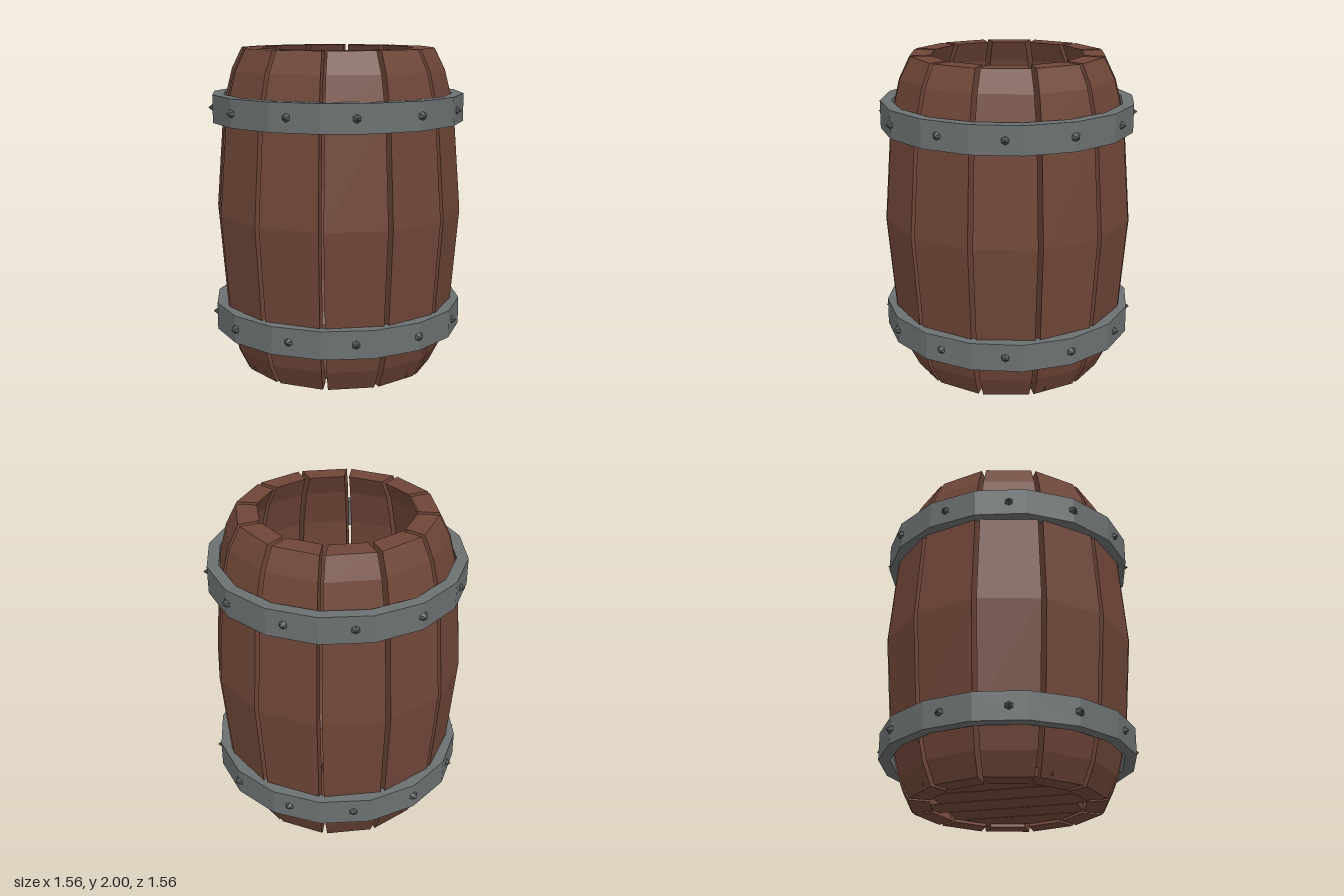
import * as THREE from 'three';

const wood = new THREE.MeshStandardMaterial({ color: 0x6f4638, flatShading: true });
wood.name = 'brown wood';
const iron = new THREE.MeshStandardMaterial({ color: 0x6b7070, flatShading: true });
iron.name = 'grey iron';
const darkIron = new THREE.MeshStandardMaterial({ color: 0x535757, flatShading: true });
darkIron.name = 'dark iron';

const STAVES = 12;
const STEP = (Math.PI * 2) / STAVES;
const GAP = 0.03;

// Barrel profile: height, outer corner radius, inner corner radius
const PROFILE = [
  [0, 0.597, 0.47], [0.13, 0.662, 0.535], [0.36, 0.721, 0.595], [1, 0.772, 0.645],
  [1.64, 0.721, 0.595], [1.87, 0.662, 0.535], [2, 0.597, 0.47],
];

function addMesh(parent, name, geometry, material) {
  const mesh = new THREE.Mesh(geometry, material);
  mesh.name = name;
  parent.add(mesh);
  return mesh;
}

// One curved plank facing +z, lofted through four-cornered sections
function staveGeometry() {
  const half = STEP / 2;
  const corner = (r) => [
    r * Math.sin(half) - (GAP / 2) * Math.cos(half),
    r * Math.cos(half) + (GAP / 2) * Math.sin(half),
  ];
  const positions = [];
  const index = [];
  for (const [y, outer, inner] of PROFILE) {
    const [ox, oz] = corner(outer);
    const [ix, iz] = corner(inner);
    positions.push(-ox, y, oz, ox, y, oz, ix, y, iz, -ix, y, iz);
  }
  for (let s = 0; s < PROFILE.length - 1; s++) {
    for (let i = 0; i < 4; i++) {
      const a = s * 4 + i;
      const b = s * 4 + ((i + 1) % 4);
      index.push(a, b, b + 4, a, b + 4, a + 4);
    }
  }
  const t = (PROFILE.length - 1) * 4;
  index.push(t, t + 1, t + 2, t, t + 2, t + 3); // top end
  index.push(0, 2, 1, 0, 3, 2); // bottom end
  const geometry = new THREE.BufferGeometry();
  geometry.setAttribute('position', new THREE.Float32BufferAttribute(positions, 3));
  geometry.setIndex(index);
  const flat = geometry.toNonIndexed();
  flat.computeVertexNormals();
  return flat;
}

// Sixteen-sided iron band with a rectangular section, centred on y = 0
const HOOP_SIDES = 16;
const HOOP_RADIUS = 0.78;
function hoopGeometry() {
  const inner = 0.71;
  const h = 0.085;
  const section = [[HOOP_RADIUS, -h], [HOOP_RADIUS, h], [inner, h], [inner, -h], [HOOP_RADIUS, -h]];
  return new THREE.LatheGeometry(section.map(([x, y]) => new THREE.Vector2(x, y)), HOOP_SIDES);
}

// Distance from the axis to the hoop's flat faces at a given angle
function hoopSurface(angle) {
  const side = (Math.PI * 2) / HOOP_SIDES;
  const offset = (angle % side) - side / 2;
  return (HOOP_RADIUS * Math.cos(side / 2)) / Math.cos(offset);
}

export function createModel() {
  const barrel = new THREE.Group();
  barrel.name = 'barrel';

  // Ring of staves with narrow gaps between them
  const staves = new THREE.Group();
  staves.name = 'staves';
  barrel.add(staves);
  const stave = staveGeometry();
  for (let i = 0; i < STAVES; i++) {
    addMesh(staves, 'stave', stave, wood).rotation.y = (i + 0.5) * STEP;
  }

  // Floor planks, shorter towards the sides
  const floor = new THREE.Group();
  floor.name = 'floor';
  barrel.add(floor);
  const halfLengths = [0.375, 0.4, 0.475, 0.4, 0.375];
  halfLengths.forEach((half, i) => {
    const plank = addMesh(floor, 'floorPlank', new THREE.BoxGeometry(0.184, 0.05, half * 2), wood);
    plank.position.set((i - 2) * 0.192, 0.045, 0);
  });

  // Two hoops with a pointed stud over the middle of each stave
  const hoop = hoopGeometry();
  const stud = new THREE.ConeGeometry(0.038, 0.045, 6).rotateX(Math.PI / 2);
  for (const y of [0.34, 1.64]) {
    const band = new THREE.Group();
    band.name = y < 1 ? 'lowerHoop' : 'upperHoop';
    band.position.y = y;
    barrel.add(band);
    addMesh(band, 'hoop', hoop, iron);
    for (let i = 0; i < STAVES; i++) {
      const angle = (i + 0.5) * STEP;
      const r = hoopSurface(angle) + 0.008;
      const mesh = addMesh(band, 'stud', stud, darkIron);
      mesh.position.set(Math.sin(angle) * r, 0, Math.cos(angle) * r);
      mesh.rotation.y = angle;
    }
  }
  return barrel;
}
